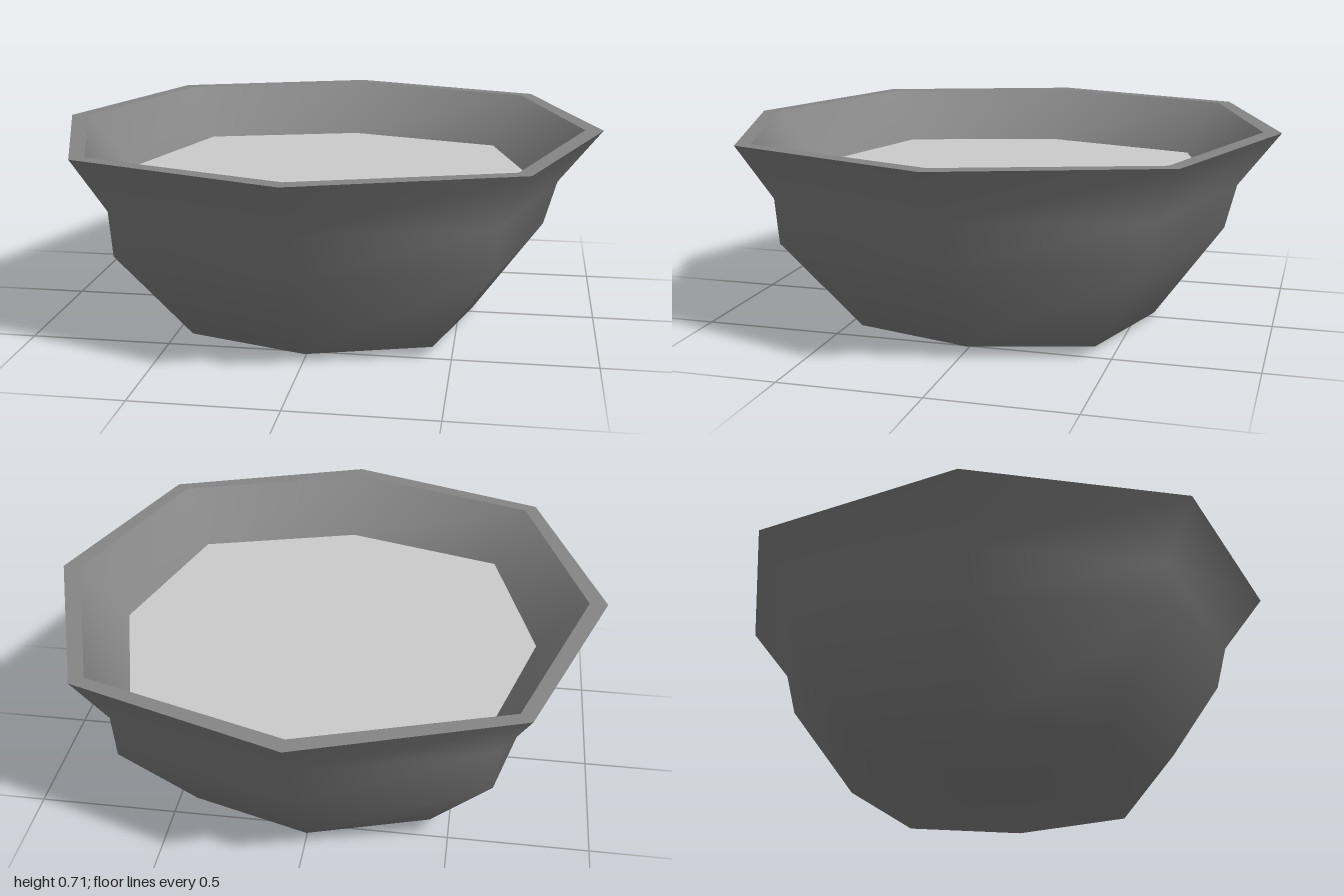
import * as THREE from 'three';
import { mergeVertices } from 'three/addons/utils/BufferGeometryUtils.js';

const SIDES = 8;

// Lofts eight-sided rings, each [height, x reach, z reach, corner offset on both axes]
function loft(rings) {
  const positions = [], index = [];
  for (const [y, rx, rz, corner] of rings) {
    for (let i = 0; i < SIDES; i++) {
      const a = (i / SIDES) * Math.PI * 2;
      const sx = Math.round(Math.sin(a)), sz = Math.round(Math.cos(a));
      const diagonal = i % 2 === 1;
      positions.push(sx * (diagonal ? corner : rx), y, sz * (diagonal ? corner : rz));
    }
  }
  for (let r = 0; r < rings.length - 1; r++) {
    for (let i = 0; i < SIDES; i++) {
      const j = (i + 1) % SIDES;
      const a = r * SIDES + i, b = r * SIDES + j;
      index.push(a, b, b + SIDES, a, b + SIDES, a + SIDES);
    }
  }
  const geometry = new THREE.BufferGeometry();
  geometry.setAttribute('position', new THREE.Float32BufferAttribute(positions, 3));
  geometry.setIndex(index);
  const merged = mergeVertices(geometry);
  merged.computeVertexNormals();
  return merged;
}

export function createModel() {
  const bowlGrey = new THREE.MeshStandardMaterial({ name: 'bowlGrey', color: 0x868686 });
  const fillingGrey = new THREE.MeshStandardMaterial({ name: 'fillingGrey', color: 0xcccccc });

  const outerRim = [0.715, 1, 1, 0.742];
  const innerRim = [0.715, 0.935, 0.935, 0.702];
  const fillEdge = [0.52, 0.765, 0.765, 0.595];

  const group = new THREE.Group();
  group.name = 'bowl';
  const add = (name, rings, material) => {
    const mesh = new THREE.Mesh(loft(rings), material);
    mesh.name = name;
    group.add(mesh);
  };

  // Outside, from the shallow base up to the flared lip
  add('outerShell', [
    [0, 0, 0, 0],
    [0.016, 0.55, 0.565, 0.43],
    [0.36, 0.8, 0.812, 0.64],
    [0.52, 0.845, 0.852, 0.65],
    outerRim,
  ], bowlGrey);
  // Flat top of the lip
  add('rim', [outerRim, innerRim], bowlGrey);
  // Sloped wall inside
  add('innerWall', [innerRim, fillEdge], bowlGrey);
  // Flat surface of the contents
  add('filling', [fillEdge, [0.52, 0, 0, 0]], fillingGrey);

  return group;
}
